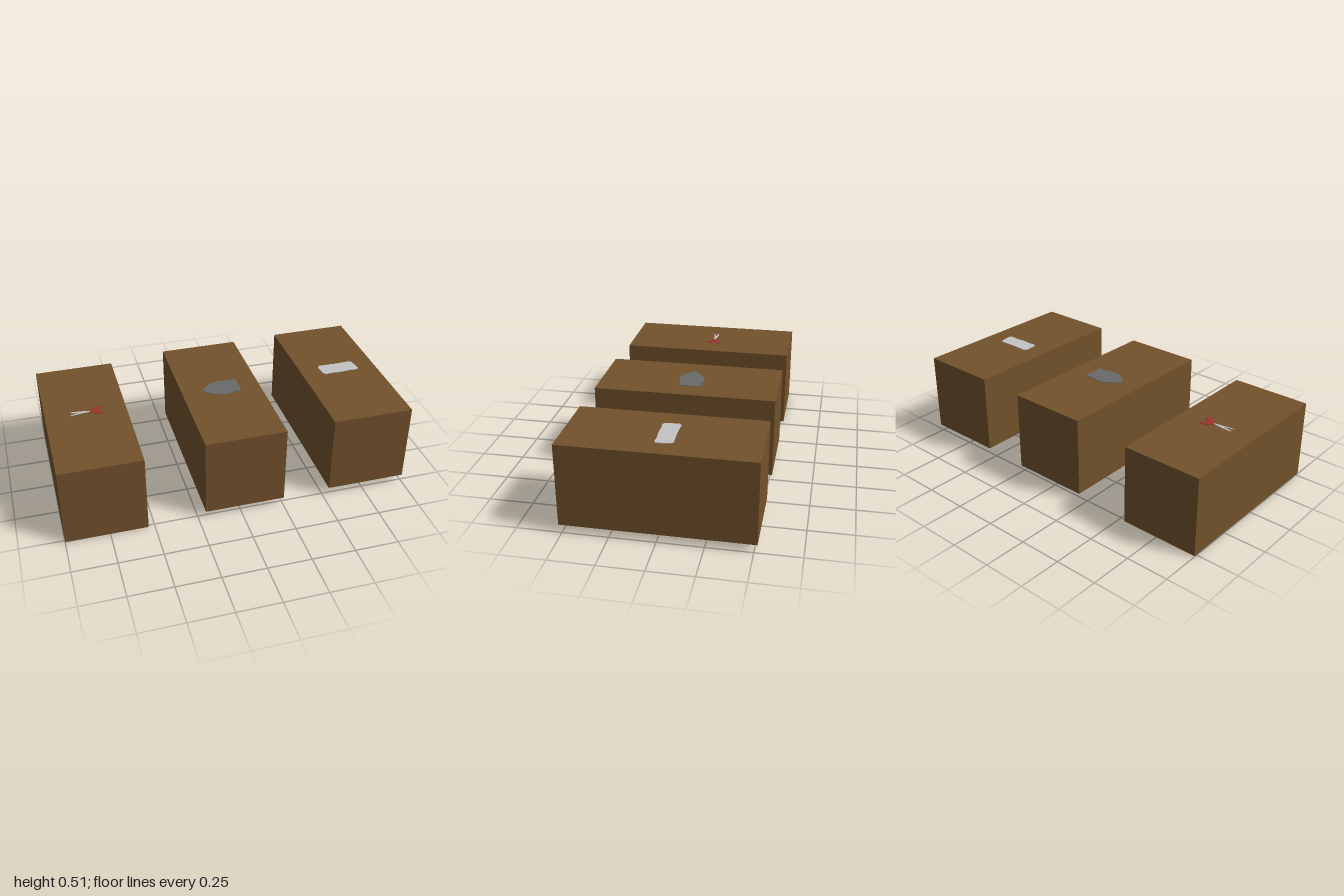
import * as THREE from 'three';

const mat = (name, color) => new THREE.MeshStandardMaterial({ name, color });

const WIDTH = 0.464, HEIGHT = 0.465, DEPTH = 1.036, PLATE = 0.003;

export function createModel() {
  const model = new THREE.Group();
  model.name = 'threeBoxes';
  const brown = mat('brown', 0x73522c);
  const grey = mat('stoneGrey', 0x6a6a6a);
  const pale = mat('paleGrey', 0xc4c4c4);
  const red = mat('handleRed', 0x9b352b);

  // Flat emblem outlined by [x, z] points, lying on the top and bottom of a box
  function addEmblem(group, name, outlines, material, bottom) {
    const shapes = outlines.map(
      (pts) => new THREE.Shape(pts.map(([x, z]) => new THREE.Vector2(x, -z))));
    const geometry = new THREE.ExtrudeGeometry(shapes, { depth: PLATE, bevelEnabled: false });
    geometry.rotateX(-Math.PI / 2);
    for (const [side, y] of [['Top', bottom + HEIGHT], ['Bottom', bottom - PLATE]]) {
      const mesh = new THREE.Mesh(geometry, material);
      mesh.name = name + side;
      mesh.position.y = y;
      group.add(mesh);
    }
  }

  function addBox(name, x, bottom) {
    const group = new THREE.Group();
    group.name = name;
    const box = new THREE.Mesh(new THREE.BoxGeometry(WIDTH, HEIGHT, DEPTH), brown);
    box.name = name + 'Body';
    box.position.set(x, bottom + HEIGHT / 2, 0);
    group.add(box);
    model.add(group);
    return group;
  }

  // Scissors box: two open blades and a pair of splayed handles
  const scissors = addBox('scissorsBox', -0.768, 0.003);
  addEmblem(scissors, 'blades', [[
    [-0.855, -0.034], [-0.8, -0.03], [-0.745, -0.022], [-0.745, -0.014],
    [-0.8, -0.008], [-0.855, 0.002], [-0.855, -0.004], [-0.8, -0.018], [-0.855, -0.026],
  ]], pale, 0.003);
  addEmblem(scissors, 'handles', [[
    [-0.745, -0.022], [-0.715, -0.058], [-0.675, -0.058], [-0.68, -0.04], [-0.705, -0.022],
    [-0.675, -0.005], [-0.675, 0.02], [-0.7, 0.026], [-0.725, 0.005], [-0.745, -0.012],
  ]], red, 0.003);

  // Rock box: an uneven stone
  const rock = addBox('rockBox', 0.027, 0.036);
  addEmblem(rock, 'rock', [[
    [-0.082, 0.005], [-0.07, -0.022], [-0.04, -0.05], [0.005, -0.078], [0.05, -0.083],
    [0.1, -0.072], [0.138, -0.078], [0.138, 0.05], [0.095, 0.052], [0.06, 0.066],
    [0.01, 0.064], [-0.03, 0.048], [-0.06, 0.024],
  ]], grey, 0.036);

  // Paper box: a slightly curled sheet
  const paper = addBox('paperBox', 0.768, 0.046);
  addEmblem(paper, 'paper', [[
    [0.656, -0.058], [0.67, -0.07], [0.77, -0.067], [0.87, -0.07], [0.88, -0.055],
    [0.888, 0.0], [0.888, 0.02], [0.87, 0.028], [0.83, 0.024], [0.77, 0.03],
    [0.72, 0.026], [0.675, 0.03], [0.662, 0.015],
  ]], pale, 0.046);

  return model;
}
